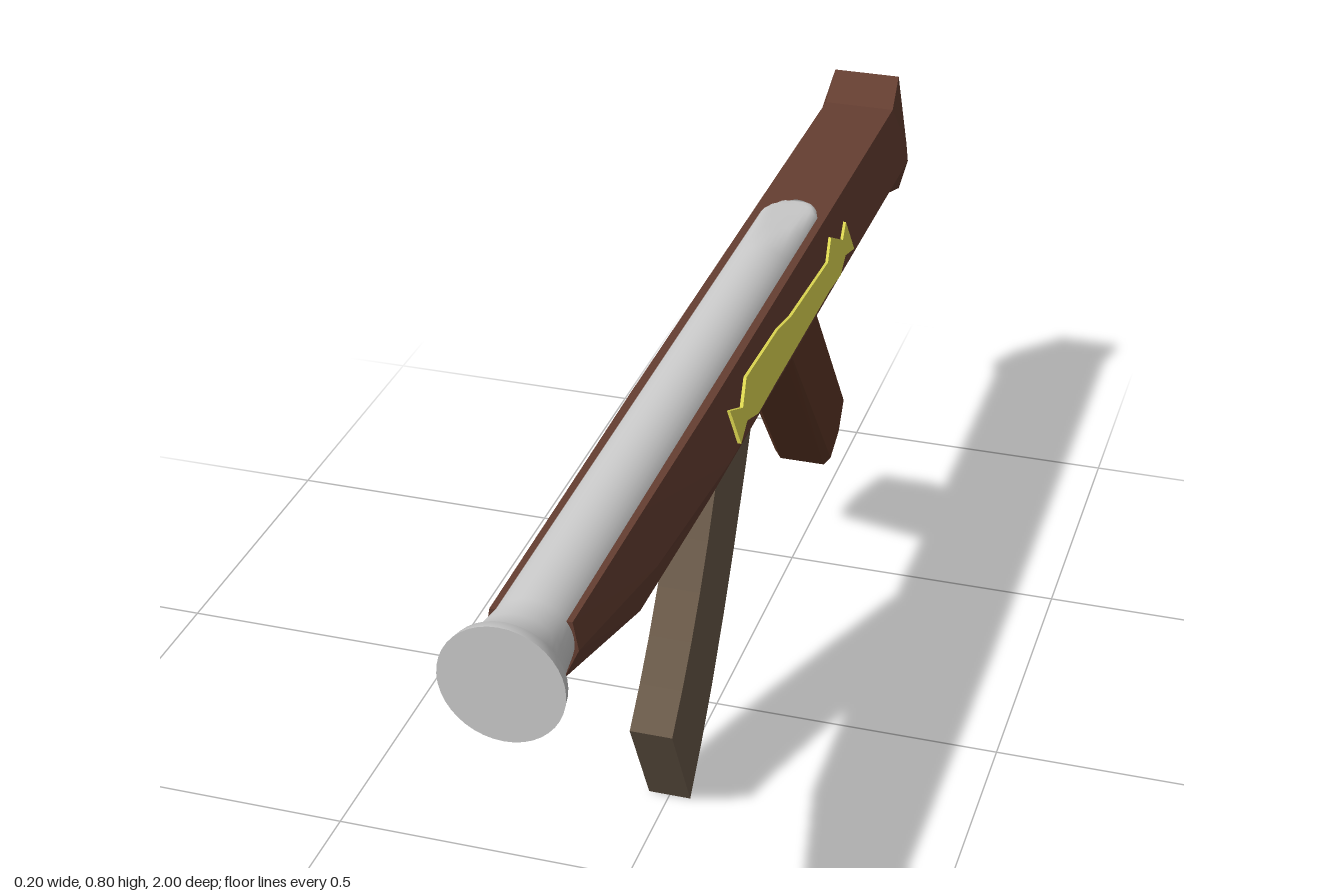
import * as THREE from 'three';

const mat = (color, flatShading = true) =>
  new THREE.MeshStandardMaterial({ color, flatShading, side: THREE.DoubleSide });

function part(name, geometry, material) {
  const mesh = new THREE.Mesh(geometry, material);
  mesh.name = name;
  return mesh;
}

// Extrude a side profile, given as [z, y] points, evenly about x = 0
function sideExtrude(shape, width, bevel = 0) {
  const depth = width - 2 * bevel;
  const geo = new THREE.ExtrudeGeometry(shape, {
    depth, curveSegments: 6, bevelEnabled: bevel > 0,
    bevelSize: bevel, bevelThickness: bevel, bevelOffset: -bevel, bevelSegments: 1,
  });
  return geo.translate(0, 0, -depth / 2).rotateY(-Math.PI / 2);
}

const polygon = (pts) => new THREE.Shape(pts.map(([z, y]) => new THREE.Vector2(z, y)));

// Hexagonal loft; each station is [z, topX, topY, midX, midY, bottomX, bottomY]
function hexLoft(stations) {
  const pos = [], index = [];
  for (const [z, tx, ty, mx, my, bx, by] of stations) {
    pos.push(tx, ty, z, -tx, ty, z, -mx, my, z, -bx, by, z, bx, by, z, mx, my, z);
  }
  const last = (stations.length - 1) * 6;
  for (let s = 0; s < last; s += 6) {
    for (let i = 0; i < 6; i++) {
      const j = (i + 1) % 6;
      index.push(s + i, s + j, s + 6 + j, s + i, s + 6 + j, s + 6 + i);
    }
  }
  for (let i = 1; i < 5; i++) {
    index.push(0, i + 1, i, last, last + i, last + i + 1);
  }
  const geo = new THREE.BufferGeometry();
  geo.setAttribute('position', new THREE.Float32BufferAttribute(pos, 3));
  geo.setIndex(index);
  const flat = geo.toNonIndexed();
  flat.computeVertexNormals();
  return flat;
}

export function createModel() {
  const group = new THREE.Group();
  const wood = mat(0x653e31);
  const gripWood = mat(0x603826);
  const darkMetal = mat(0x6a5a49);
  const gold = mat(0xdcd650);
  const brass = mat(0x9c965a);
  const steel = mat(0xcccccc, false);

  // Wooden stock: flared butt, straight body, tapered fore-end
  group.add(part('stock', hexLoft([
    [-0.995, 0.062, 0.79, 0.082, 0.655, 0.07, 0.56],
    [-0.94, 0.065, 0.745, 0.098, 0.645, 0.062, 0.573],
    [0.25, 0.065, 0.745, 0.096, 0.647, 0.062, 0.573],
    [0.58, 0.062, 0.745, 0.083, 0.655, 0.056, 0.573],
    [0.88, 0.06, 0.745, 0.068, 0.7, 0.045, 0.65],
  ]), wood));

  // Barrel with flared muzzle; its rear is planed down into the stock
  const centreY = 0.71;
  const barrelProfile = [
    [0.001, -0.502], [0.037, -0.5], [0.045, -0.49], [0.054, -0.47], [0.062, -0.44],
    [0.062, -0.35], [0.062, -0.25], [0.062, 0.88], [0.068, 0.93], [0.076, 0.965],
    [0.088, 0.98], [0.092, 1],
  ].map(([r, z]) => new THREE.Vector2(r, z));
  const barrel = new THREE.LatheGeometry(barrelProfile, 40).rotateX(Math.PI / 2);
  const bp = barrel.attributes.position;
  for (let i = 0; i < bp.count; i++) {
    const z = bp.getZ(i);
    if (z < -0.24) bp.setY(i, Math.min(bp.getY(i), 0.062 + (z + 0.25) * 0.1));
  }
  barrel.computeVertexNormals();
  barrel.translate(0, centreY, 0);
  group.add(part('barrel', barrel, steel));
  group.add(part('muzzleFace', new THREE.CircleGeometry(0.092, 40).translate(0, centreY, 1), steel));

  // Curved magazine
  const mag = new THREE.Shape();
  mag.moveTo(0.09, 0.6);
  mag.quadraticCurveTo(0.2, 0.35, 0.37, 0.19);
  mag.lineTo(0.275, 0);
  mag.quadraticCurveTo(0.09, 0.18, -0.12, 0.6);
  group.add(part('magazine', sideExtrude(mag, 0.072), darkMetal));

  // Slanted grip
  const grip = polygon([
    [-0.22, 0.605], [-0.41, 0.605], [-0.66, 0.275], [-0.62, 0.215], [-0.55, 0.185],
  ]);
  const gripMesh = part('grip', sideExtrude(grip, 0.108, 0.012), gripWood);
  gripMesh.position.x = 0.003;
  group.add(gripMesh);

  // Trigger guard and trigger, as thin bent strips
  group.add(part('triggerGuard', sideExtrude(polygon([
    [-0.075, 0.545], [-0.14, 0.472], [-0.199, 0.472], [-0.208, 0.58],
    [-0.2, 0.58], [-0.192, 0.48], [-0.144, 0.48], [-0.08, 0.552],
  ]), 0.026), brass));
  group.add(part('trigger', sideExtrude(polygon([
    [-0.18, 0.58], [-0.178, 0.555], [-0.16, 0.528], [-0.13, 0.51],
    [-0.13, 0.52], [-0.152, 0.535], [-0.165, 0.558], [-0.165, 0.58],
  ]), 0.018), brass));

  // Gold side inlays, leaned to lie on the sloping flanks
  const inlayShape = polygon([
    [0.2, 0.71], [0.15, 0.69], [0.1, 0.717], [-0.08, 0.712], [-0.15, 0.702],
    [-0.38, 0.693], [-0.43, 0.717], [-0.48, 0.69], [-0.52, 0.706],
    [-0.52, 0.656], [-0.47, 0.666], [-0.42, 0.652], [-0.35, 0.656],
    [0, 0.656], [0.1, 0.655], [0.15, 0.668], [0.2, 0.654],
  ]);
  for (const side of [1, -1]) {
    const geo = sideExtrude(inlayShape, 0.012);
    const p = geo.attributes.position;
    for (let i = 0; i < p.count; i++) {
      const flankX = 0.097 - (p.getY(i) - 0.645) * 0.33;
      p.setX(i, p.getX(i) + side * flankX);
    }
    geo.computeVertexNormals();
    group.add(part(side > 0 ? 'leftInlay' : 'rightInlay', geo, gold));
  }

  return group;
}
